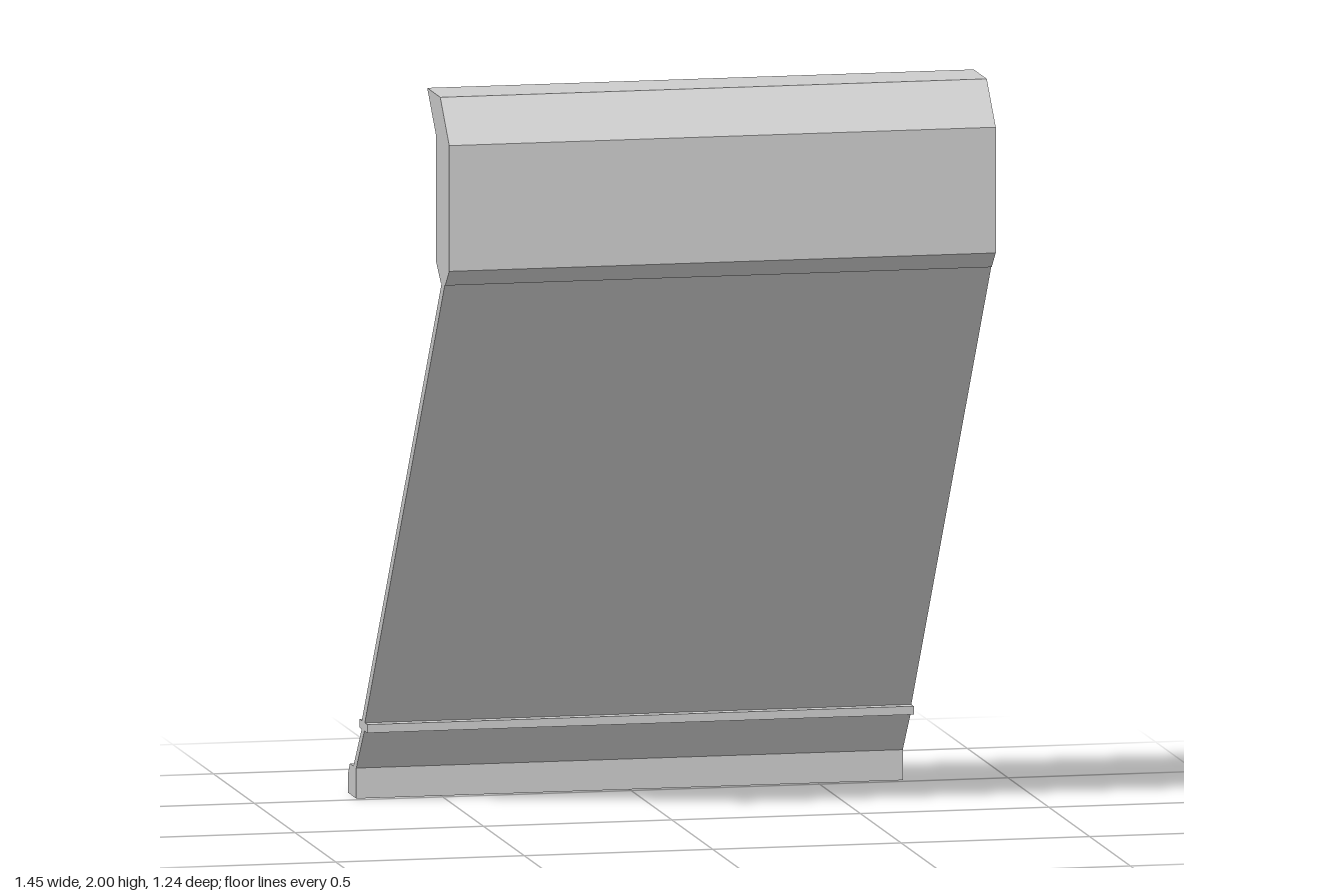
import * as THREE from 'three';

const WIDTH = 1.45;

// Side profiles as [z, y] corners, each swept across the full width
const PROFILES = {
  // angled upper head with its backward-leaning lip
  head: [[0.62, 1.56], [0.62, 1.89], [0.51, 2], [0.35, 2], [0.46, 1.89],
    [0.46, 1.56], [0.515, 1.515], [0.57, 1.515]],
  // long sloping sheet
  slopingPanel: [[0.565, 1.515], [0.527, 1.515], [-0.452, 0.215], [-0.415, 0.215]],
  // thin horizontal strip crossing the sheet
  crossStrip: [[-0.385, 0.215], [-0.48, 0.215], [-0.48, 0.193], [-0.385, 0.193]],
  // short steeper sheet below the strip
  lowerPanel: [[-0.42, 0.193], [-0.453, 0.193], [-0.555, 0.08], [-0.52, 0.08]],
  // bar on the ground with one bevelled edge
  footBar: [[-0.52, 0], [-0.52, 0.08], [-0.598, 0.08], [-0.618, 0.055], [-0.618, 0]],
};

export function createModel() {
  const group = new THREE.Group();
  group.name = 'slopingStand';
  const material = new THREE.MeshStandardMaterial({ color: 0xcccccc, flatShading: true });

  for (const [name, corners] of Object.entries(PROFILES)) {
    const shape = new THREE.Shape(corners.map(([z, y]) => new THREE.Vector2(z, y)));
    const geometry = new THREE.ExtrudeGeometry(shape, { depth: WIDTH, bevelEnabled: false });
    // centre the sweep, then turn it to run along x
    geometry.translate(0, 0, -WIDTH / 2).rotateY(-Math.PI / 2);
    const mesh = new THREE.Mesh(geometry, material);
    mesh.name = name;
    group.add(mesh);
  }
  return group;
}
